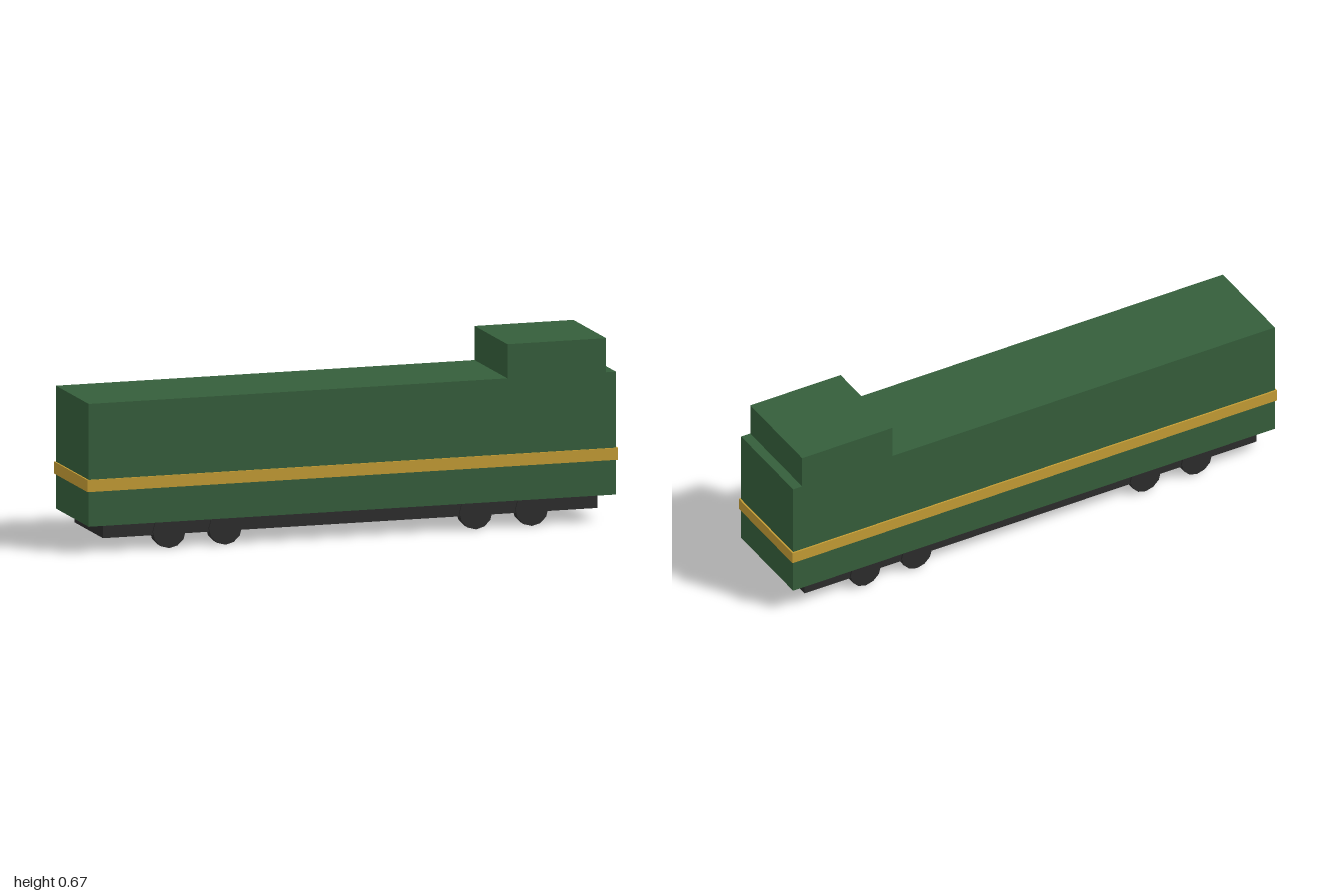
import * as THREE from 'three';

const U = 2 / 16.1; // design unit: the stripe, 16.1 units long, is the longest part

export function createModel() {
  const model = new THREE.Group();
  model.name = 'locomotive';

  const material = (name, color) => {
    const m = new THREE.MeshStandardMaterial({ color });
    m.name = name;
    return m;
  };
  const green = material('hull green', 0x355e3b);
  const gold = material('stripe gold', 0xc49c34);
  const black = material('running gear black', 0x2c2c2c);
  black.flatShading = true;

  const add = (name, geometry, mat, x, y, z) => {
    const mesh = new THREE.Mesh(geometry, mat);
    mesh.name = name;
    mesh.position.set(x, y, z);
    model.add(mesh);
    return mesh;
  };

  // Hull and raised cab share flush sides, so they are one extruded side profile
  const profile = new THREE.Shape([
    [-8, 0.8], [8, 0.8], [8, 4.4], [7.7, 4.4], [7.7, 5.4], [4.7, 5.4], [4.7, 4.4], [-8, 4.4],
  ].map(([x, y]) => new THREE.Vector2(x * U, y * U)));
  const hull = new THREE.ExtrudeGeometry(profile, { depth: 3 * U, bevelEnabled: false });
  add('hullAndCab', hull, green, 0, 0, -1.5 * U);

  // Stripe band running round all four sides
  add('stripe', new THREE.BoxGeometry(16.1 * U, 0.35 * U, 3.1 * U), gold, 0, 2 * U, 0);

  // Underframe
  add('underframe', new THREE.BoxGeometry(15 * U, 0.4 * U, 2.6 * U), black, 0, 0.6 * U, 0);

  // Two pairs of wheels per side at each end
  const wheel = new THREE.CylinderGeometry(0.5 * U, 0.5 * U, 0.3 * U, 12).rotateX(Math.PI / 2);
  for (const x of [-5.5, -3.8, 3.8, 5.5]) {
    for (const side of [-1, 1]) {
      add('wheel', wheel, black, x * U, 0.5 * U, side * 1.2 * U);
    }
  }

  return model;
}
